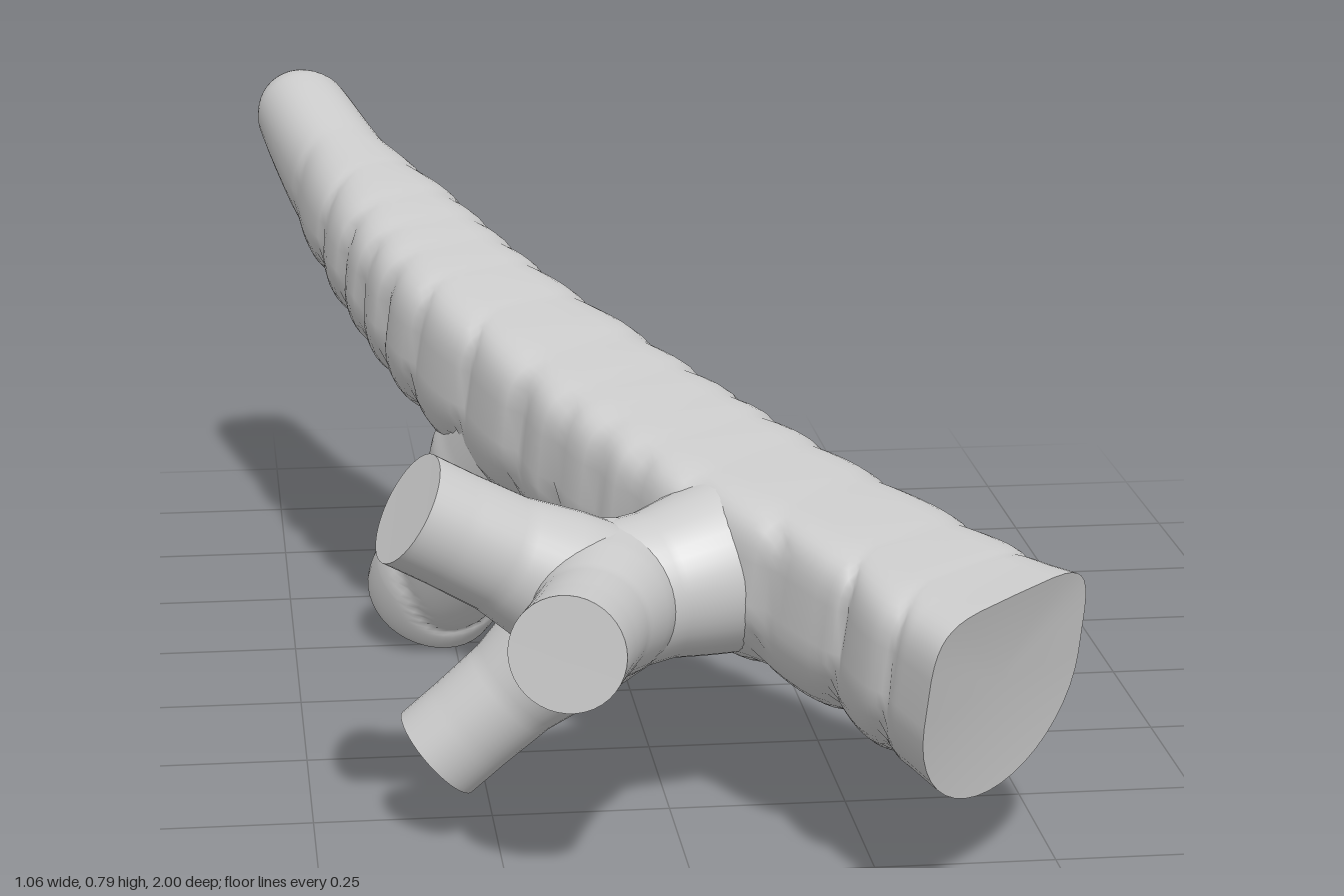
import * as THREE from 'three';

const SIDES = 40;
const Y = new THREE.Vector3(0, 1, 0);

// Flat or slightly dished end cap on a ring of points
function cap(ring, axis, inset, pos, idx) {
  const base = pos.length / 3;
  const mid = new THREE.Vector3();
  ring.forEach(p => { pos.push(p.x, p.y, p.z); mid.addScaledVector(p, 1 / ring.length); });
  mid.addScaledVector(axis, -inset);
  pos.push(mid.x, mid.y, mid.z);
  const flip = inset < 0;
  for (let j = 0; j < SIDES; j++) {
    const a = base + j, b = base + (j + 1) % SIDES;
    if (flip) idx.push(base + SIDES, b, a);
    else idx.push(base + SIDES, a, b);
  }
}

// Lofts a limb through stations: p centre, w half width, u height above, d depth below,
// n squareness of the upper half, k skew of the section towards the cut direction.
// bump: { size, step, from, to, top } makes overlapping bark ridges along the limb.
function limb(name, stations, { bump = null, startInset = 0.001, endInset = 0.001, steps = 18 } = {}) {
  const curve = new THREE.CatmullRomCurve3(stations.map(s => new THREE.Vector3(...s.p)));
  const total = (stations.length - 1) * steps;
  const cut = new THREE.Vector3(-0.69, 0, 0.72);
  const pos = [], idx = [], rings = [];
  let dist = 0, last = curve.getPoint(0);
  for (let i = 0; i <= total; i++) {
    const t = i / total;
    const seg = Math.min(Math.floor(i / steps), stations.length - 2);
    const f = i / steps - seg;
    const mix = key => THREE.MathUtils.lerp(stations[seg][key] ?? 0, stations[seg + 1][key] ?? 0, f);
    const c = curve.getPoint(t), T = curve.getTangent(t);
    const S = new THREE.Vector3().crossVectors(Y, T).normalize();
    const U = new THREE.Vector3().crossVectors(T, S).normalize();
    S.lerp(cut, mix('k')).normalize();
    dist += c.distanceTo(last);
    last = c;
    const w = mix('w'), u = mix('u'), d = mix('d'), n = Math.max(2, mix('n'));
    const ring = [];
    for (let j = 0; j < SIDES; j++) {
      const a = (j / SIDES) * Math.PI * 2;
      const cs = Math.cos(a), sn = Math.sin(a);
      const e = sn > 0 ? 2 / n : 1;
      let x = w * Math.sign(cs) * Math.abs(cs) ** e;
      let y = (sn > 0 ? u : d) * Math.sign(sn) * Math.abs(sn) ** e;
      if (bump) {
        // each ridge swells slowly and ends in a sharp crease
        const v = dist / bump.step + 0.18 * Math.sin(2 * a + 1) + 0.3 * Math.sin(dist * 9);
        const fr = v - Math.floor(v);
        const swell = Math.sin(Math.PI * fr ** 0.7) ** 0.6 - 0.65;
        const fade = THREE.MathUtils.smoothstep(dist, bump.from, bump.from + 0.06)
          * (1 - THREE.MathUtils.smoothstep(dist, bump.to - 0.1, bump.to));
        const g = 1 + bump.size * swell * fade;
        x *= g;
        y *= sn > 0 ? 1 + (g - 1) * bump.top : g;
      }
      ring.push(c.clone().addScaledVector(S, x).addScaledVector(U, y));
    }
    rings.push(ring);
    ring.forEach(p => pos.push(p.x, p.y, p.z));
  }
  for (let i = 0; i < total; i++) {
    for (let j = 0; j < SIDES; j++) {
      const k = (j + 1) % SIDES;
      const a = i * SIDES + j, b = i * SIDES + k, c = b + SIDES, d = a + SIDES;
      idx.push(a, b, c, a, c, d);
    }
  }
  cap(rings[0], curve.getTangent(0), -startInset, pos, idx);
  cap(rings[total], curve.getTangent(1), endInset, pos, idx);
  const geo = new THREE.BufferGeometry();
  geo.setAttribute('position', new THREE.Float32BufferAttribute(pos, 3));
  geo.setIndex(idx);
  geo.computeVertexNormals();
  const mesh = new THREE.Mesh(geo, new THREE.MeshStandardMaterial({ color: 0xcccccc }));
  mesh.name = name;
  return mesh;
}

const round = (p, r) => ({ p, w: r, u: r, d: r });

export function createModel() {
  const group = new THREE.Group();
  group.name = 'brokenBranch';

  // Main limb with a flattened top, from the wide oblique cut to the thin tip
  group.add(limb('mainLimb', [
    { p: [0.397, 0.30, 0.865], w: 0.188, u: 0.14, d: 0.15, n: 5, k: 1 },
    { p: [0.355, 0.312, 0.80], w: 0.162, u: 0.135, d: 0.145, n: 5, k: 0.65 },
    { p: [0.285, 0.335, 0.68], w: 0.14, u: 0.132, d: 0.138, n: 5, k: 0.15 },
    { p: [0.095, 0.388, 0.40], w: 0.147, u: 0.13, d: 0.138, n: 5 },
    { p: [-0.12, 0.462, 0.0], w: 0.134, u: 0.136, d: 0.138, n: 4.5 },
    { p: [-0.22, 0.512, -0.2], w: 0.124, u: 0.13, d: 0.13, n: 4 },
    { p: [-0.325, 0.59, -0.5], w: 0.109, u: 0.115, d: 0.116, n: 3 },
    { p: [-0.39, 0.645, -0.7], w: 0.086, u: 0.10, d: 0.102, n: 2.5 },
    { p: [-0.45, 0.727, -0.93], w: 0.076, u: 0.075, d: 0.076, n: 2.1 },
    { p: [-0.457, 0.737, -0.965], w: 0.064, u: 0.062, d: 0.064, n: 2 },
  ], { bump: { size: 0.13, step: 0.12, from: 0.05, to: 1.85, top: 0.1 }, startInset: 0.015 }));

  // Thick stub hanging below the middle
  group.add(limb('lowerStub', [
    round([-0.12, 0.45, -0.03], 0.13),
    round([-0.175, 0.34, -0.105], 0.12),
    round([-0.22, 0.24, -0.18], 0.108),
    round([-0.265, 0.13, -0.255], 0.106),
    round([-0.285, 0.08, -0.295], 0.10),
    round([-0.29, 0.064, -0.306], 0.085),
  ], { bump: { size: 0.13, step: 0.13, from: 0.1, to: 0.6, top: 1 } }));

  // Side stem that flares out of the main limb and carries three short prongs
  group.add(limb('sideStem', [
    round([0.16, 0.385, 0.46], 0.11),
    round([0.06, 0.375, 0.53], 0.122),
    round([-0.03, 0.365, 0.57], 0.103),
    round([-0.12, 0.352, 0.595], 0.104),
    round([-0.19, 0.345, 0.60], 0.085),
    round([-0.23, 0.345, 0.60], 0.04),
  ]));

  const prongs = [
    ['upperProng', [-0.09, 0.345, 0.59], [-0.37, 0.51, 0.65], 0.08],
    ['frontProng', [-0.085, 0.355, 0.57], [-0.18, 0.378, 0.885], 0.079],
    ['downwardProng', [-0.10, 0.345, 0.60], [-0.33, 0.135, 0.57], 0.073],
  ];
  for (const [name, from, to, r] of prongs) {
    const at = f => from.map((v, i) => v + (to[i] - v) * f);
    group.add(limb(name, [
      round(at(0), r * 1.35), round(at(0.3), r * 1.22), round(at(0.55), r * 1.03),
      round(at(0.8), r), round(at(1), r),
    ], { steps: 8 }));
  }
  return group;
}
